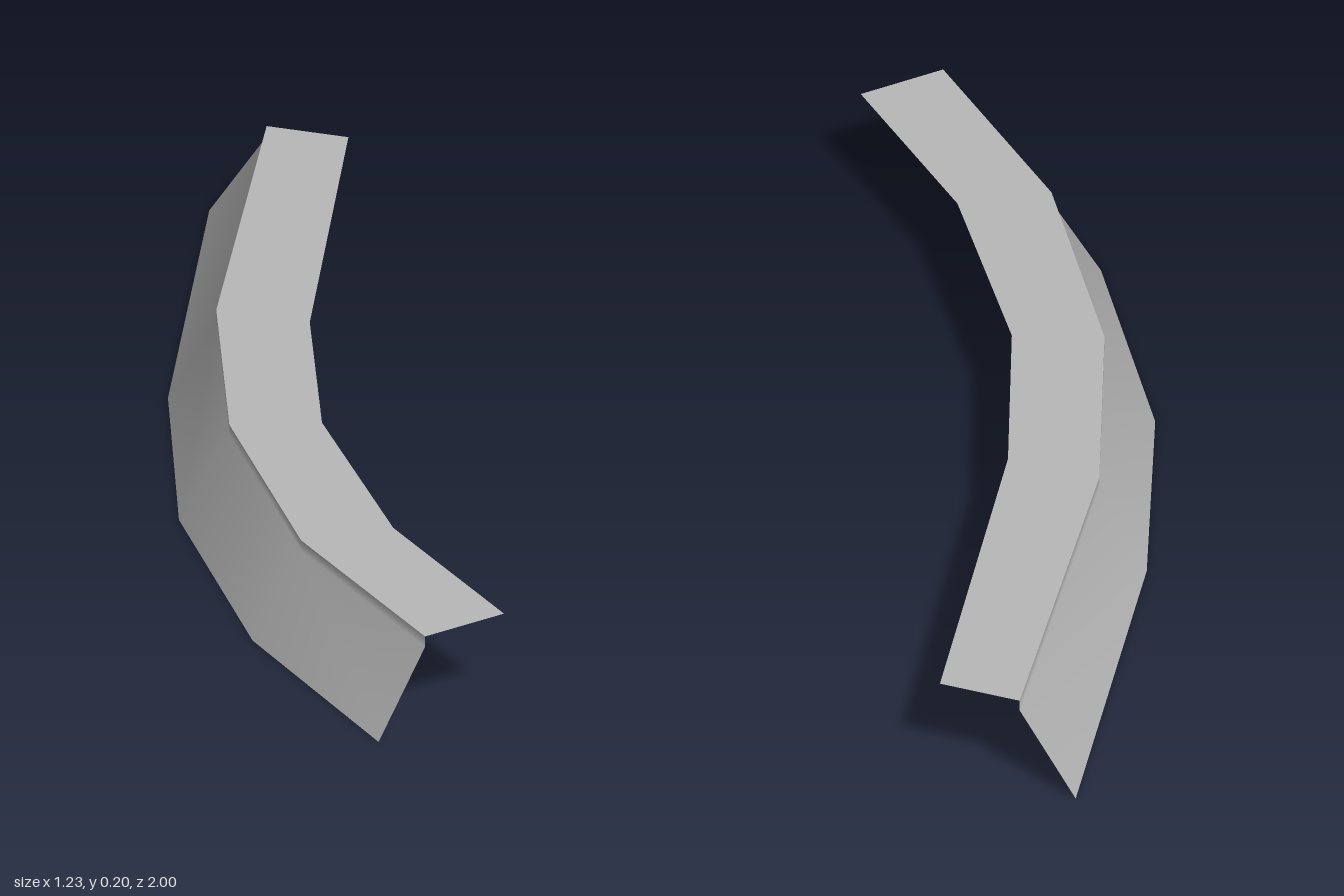
import * as THREE from 'three';

// Stations along the bend, front to back: [x, z] of the foot, crease and inner edge
const stations = [
  { foot: [-0.615, 0.975], crease: [-0.51, 0.985], inner: [-0.33, 1.0] },
  { foot: [-0.56, 0.49], crease: [-0.465, 0.52], inner: [-0.29, 0.585] },
  { foot: [-0.375, 0.0], crease: [-0.29, 0.05], inner: [-0.14, 0.15] },
  { foot: [-0.09, -0.42], crease: [-0.025, -0.35], inner: [0.09, -0.2] },
  { foot: [0.44, -1.0], crease: [0.51, -0.907], inner: [0.61, -0.775] },
];
const HEIGHT = 0.203;
const LIP = 0.18;

// Open surface through equal-length rows of points, smooth along the bend
function loft(rows) {
  const n = rows[0].length;
  const index = [];
  for (let s = 0; s < rows.length - 1; s++) {
    for (let i = 0; i < n - 1; i++) {
      const a = s * n + i, b = a + 1, d = a + n, c = d + 1;
      index.push(a, b, c, a, c, d);
    }
  }
  const geometry = new THREE.BufferGeometry();
  geometry.setAttribute('position', new THREE.Float32BufferAttribute(rows.flat(2), 3));
  geometry.setIndex(index);
  geometry.computeVertexNormals();
  return geometry;
}

const at = ([x, z], y) => [x, y, z];

export function createModel() {
  const group = new THREE.Group();
  group.name = 'curvedKerb';
  const grey = new THREE.MeshStandardMaterial({ color: 0xb8b8b8, side: THREE.DoubleSide });
  grey.name = 'concrete grey';

  const add = (name, rows) => {
    const mesh = new THREE.Mesh(loft(rows), grey);
    mesh.name = name;
    group.add(mesh);
  };

  // Sloping outer face with the short upright lip under the crease
  add('slopedSide', stations.map((s) => [at(s.foot, 0), at(s.crease, LIP), at(s.crease, HEIGHT)]));
  // Flat walkway on top
  add('topSurface', stations.map((s) => [at(s.crease, HEIGHT), at(s.inner, HEIGHT)]));

  return group;
}
